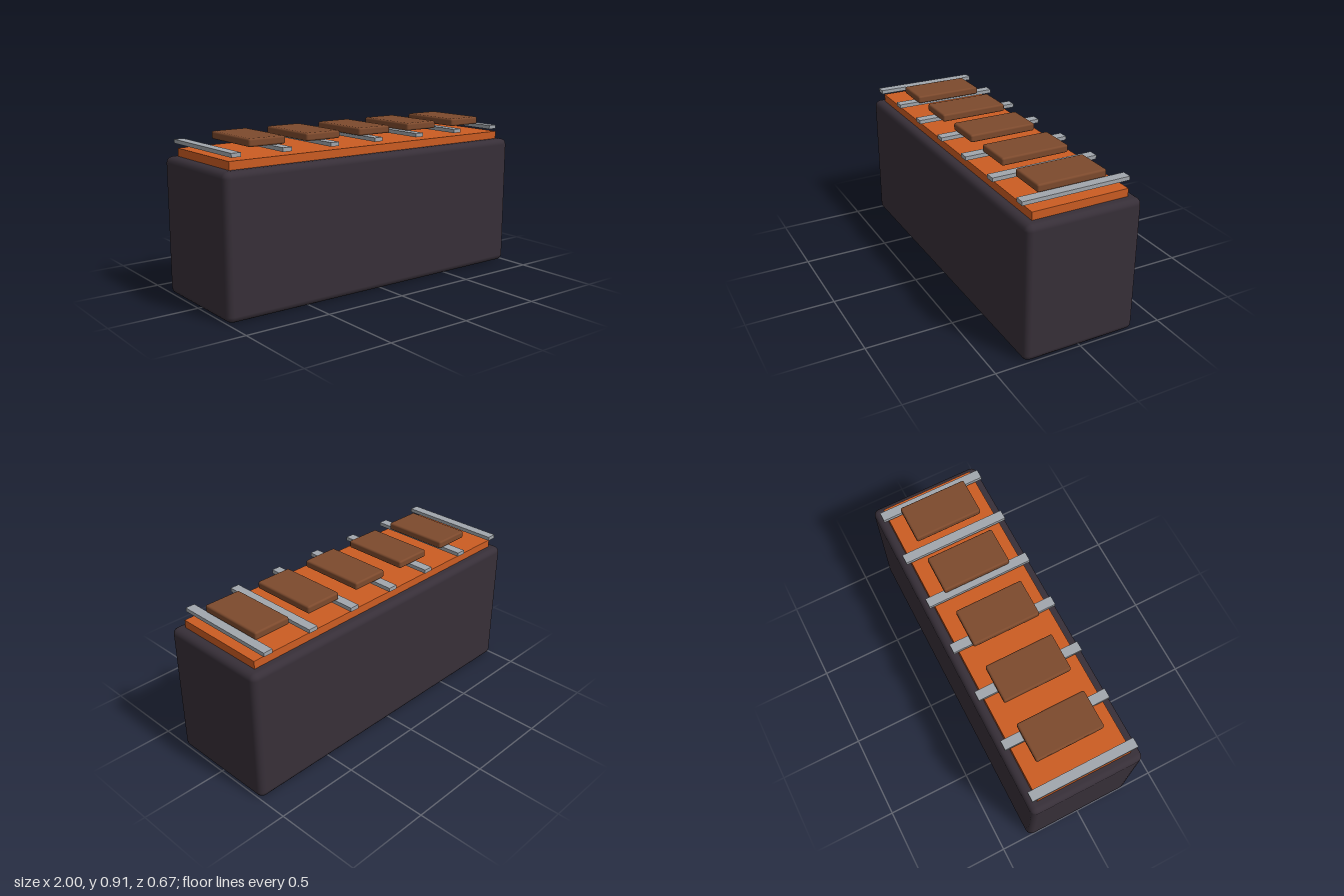
import * as THREE from 'three';
import { RoundedBoxGeometry } from 'three/addons/geometries/RoundedBoxGeometry.js';

function material(name, color) {
  const m = new THREE.MeshStandardMaterial({ color });
  m.name = name;
  return m;
}

export function createModel() {
  const charcoal = material('charcoal', 0x372f38);
  const ember = material('emberOrange', 0xcc5c22);
  const steel = material('steelGrey', 0xa2a7ad);
  const brown = material('brown', 0x7d4a2d);

  const model = new THREE.Group();
  model.name = 'grill';

  const add = (name, geometry, mat, x, y, parent = model) => {
    const mesh = new THREE.Mesh(geometry, mat);
    mesh.name = name;
    mesh.position.set(x, y, 0);
    parent.add(mesh);
  };

  // Rounded body and the glowing bed on top of it
  add('body', new RoundedBoxGeometry(2, 0.778, 0.666, 2, 0.035), charcoal, 0, 0.389);
  add('emberBed', new THREE.BoxGeometry(1.888, 0.045, 0.556), ember, 0, 0.8005);

  // Seven evenly spaced grate bars
  const grate = new THREE.Group();
  grate.name = 'grate';
  model.add(grate);
  const barGeometry = new THREE.BoxGeometry(0.055, 0.022, 0.622);
  for (let i = 0; i < 7; i++) add('grateBar', barGeometry, steel, -0.92 + i * 0.3, 0.857, grate);

  // Five slabs resting on the bars
  const slabs = new THREE.Group();
  slabs.name = 'slabs';
  model.add(slabs);
  const slabGeometry = new RoundedBoxGeometry(0.222, 0.044, 0.4, 2, 0.011);
  for (let i = 0; i < 5; i++) add('slab', slabGeometry, brown, -0.669 + i * 0.355, 0.89, slabs);

  return model;
}
